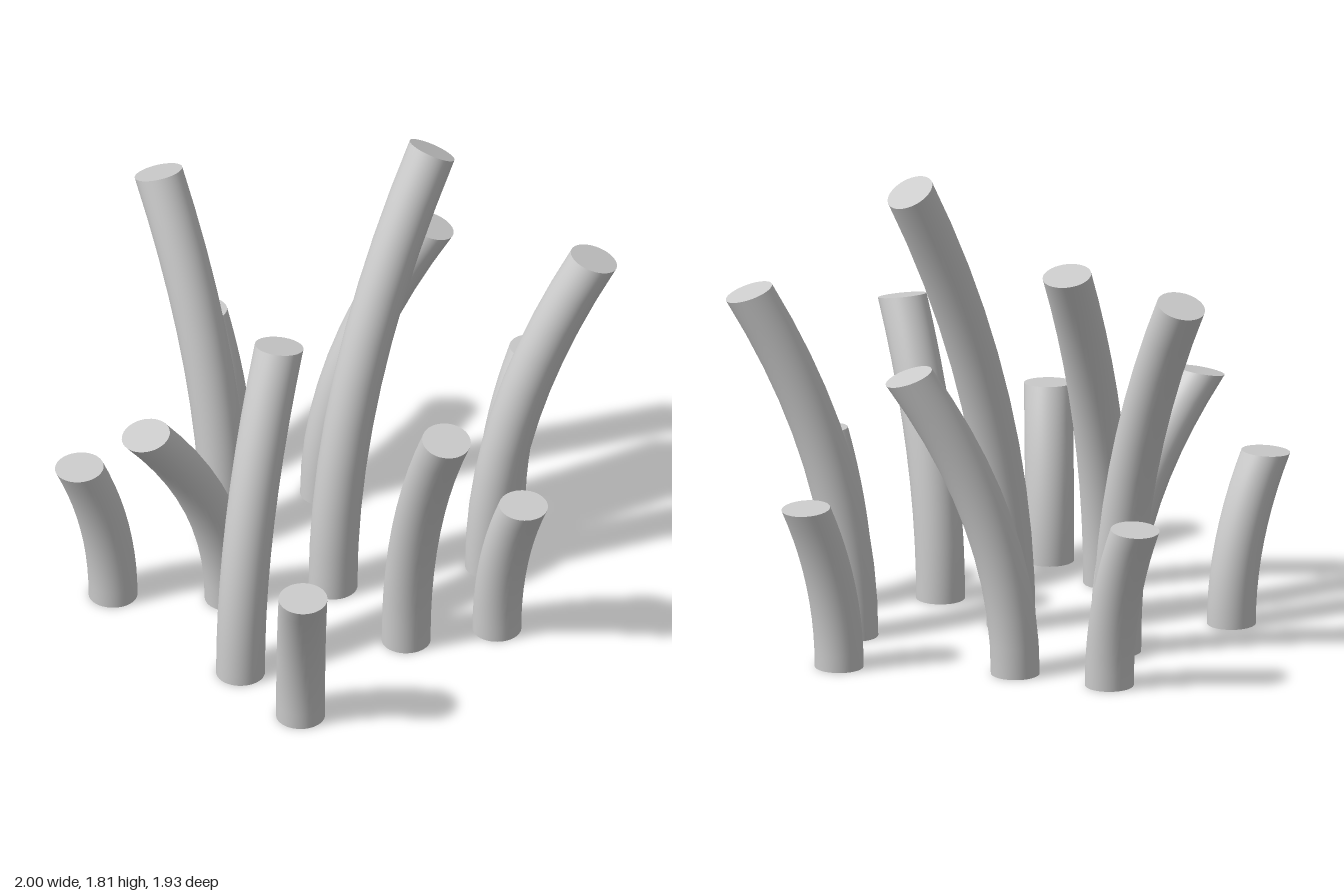
import * as THREE from 'three';
import { toCreasedNormals } from 'three/addons/utils/BufferGeometryUtils.js';

const RADIUS = 0.091;

// Each stalk: base x, base z, tip x, tip z, height, tilt of the tip face in degrees
const STALKS = [
  [0.09, -0.715, 0.09, -0.875, 0.64, 5],
  [-0.195, -0.38, -0.195, -0.78, 1.435, 20.5],
  [-0.75, -0.35, -0.91, -0.35, 0.64, 5],
  [-0.425, -0.065, -0.82, -0.065, 0.9, 12.7],
  [0.28, -0.385, 0.625, -0.185, 1.165, 19],
  [0.75, 0.08, 0.905, 0.08, 0.64, 5],
  [-0.075, 0.115, 0.395, 0.115, 1.767, 30.4],
  [-0.695, 0.345, -0.405, 0.21, 1.275, 13.6],
  [0.465, 0.37, 0.805, 0.567, 1.345, 19],
  [-0.695, 0.705, -0.79, 0.84, 0.64, 5],
  [-0.08, 0.56, -0.135, 0.872, 1.09, 12.4],
  [0.232, 0.71, 0.232, 0.87, 0.64, 5],
];

// Bends an upright cylinder: rings shift outward with the square of height
// and tip over progressively in the lean direction.
function stalkGeometry([bx, bz, tx, tz, height, tiltDeg]) {
  const geo = new THREE.CylinderGeometry(RADIUS, RADIUS, 1, 40, 10);
  const pos = geo.attributes.position;
  const lean = new THREE.Vector2(tx - bx, tz - bz);
  const dir = lean.clone().normalize();
  for (let i = 0; i < pos.count; i++) {
    const x = pos.getX(i), z = pos.getZ(i), t = pos.getY(i) + 0.5;
    const tilt = THREE.MathUtils.degToRad(tiltDeg) * t;
    const along = x * dir.x + z * dir.y;
    const shrink = along * (Math.cos(tilt) - 1);
    pos.setXYZ(
      i,
      bx + lean.x * t * t + x + dir.x * shrink,
      height * t - along * Math.sin(tilt),
      bz + lean.y * t * t + z + dir.y * shrink
    );
  }
  return toCreasedNormals(geo, THREE.MathUtils.degToRad(40));
}

export function createModel() {
  const group = new THREE.Group();
  group.name = 'stalkCluster';
  const material = new THREE.MeshStandardMaterial({ color: 0xcccccc });
  STALKS.forEach((spec, i) => {
    const stalk = new THREE.Mesh(stalkGeometry(spec), material);
    stalk.name = `stalk${i + 1}`;
    group.add(stalk);
  });
  return group;
}
